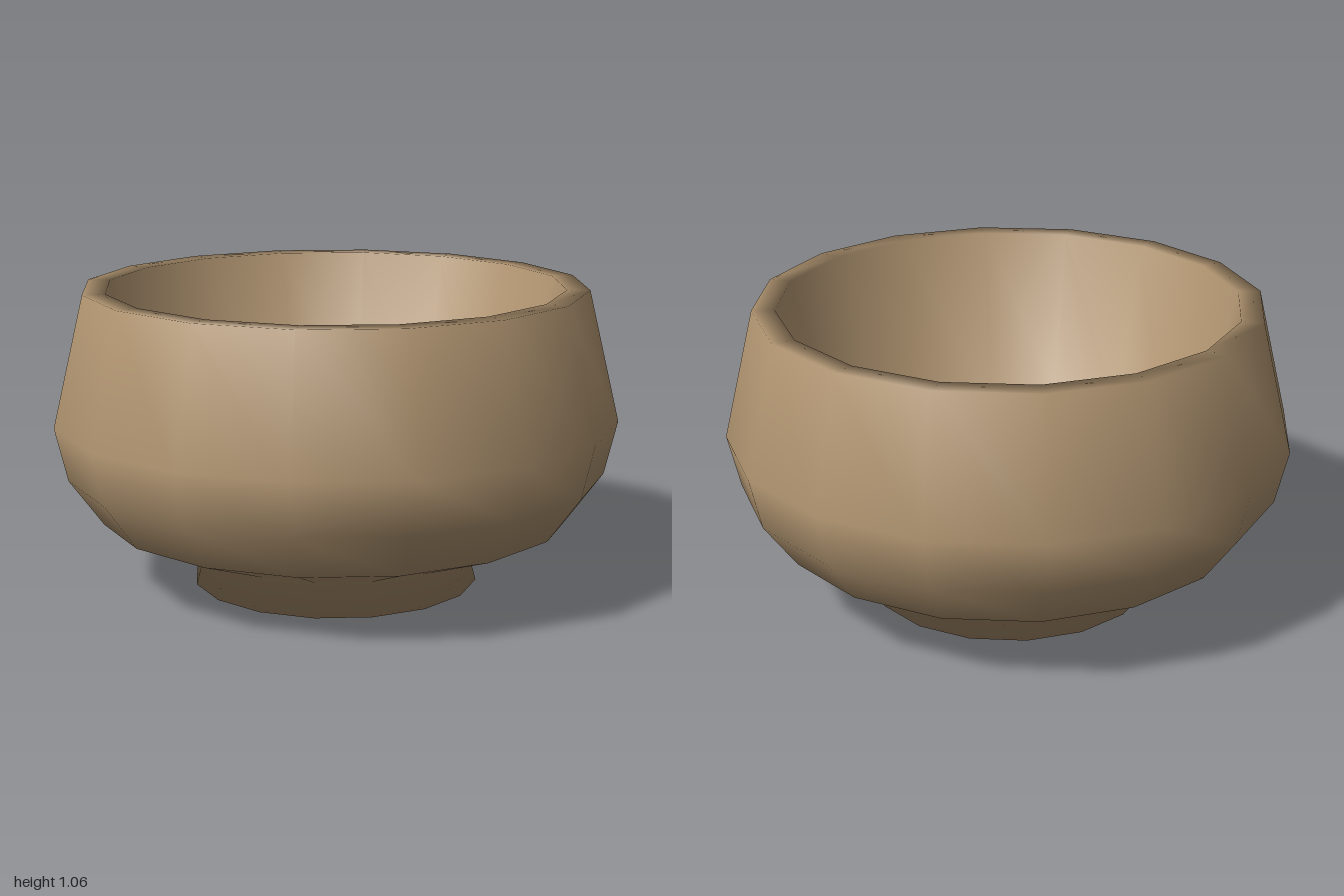
import * as THREE from 'three';

export function createModel() {
  const model = new THREE.Group();
  model.name = 'footedBowl';

  const clay = new THREE.MeshStandardMaterial({ color: 0xb09470 });
  clay.name = 'tan clay';

  // Closed profile: radius and height, from the base centre round to the bowl floor
  const profile = [
    [0, 0], [0.51, 0], [0.48, 0.115],              // foot
    [0.835, 0.245], [0.955, 0.41], [1, 0.6],       // outer belly
    [0.89, 1.06], [0.81, 1.06],                    // flat rim
    [0.66, 0.46], [0.36, 0.27], [0, 0.24],         // inner wall and floor
  ].map(([r, y]) => new THREE.Vector2(r, y));

  // One smooth-shaded turning with sixteen sides
  const bowl = new THREE.Mesh(new THREE.LatheGeometry(profile, 16), clay);
  bowl.name = 'bowl';
  model.add(bowl);

  return model;
}
